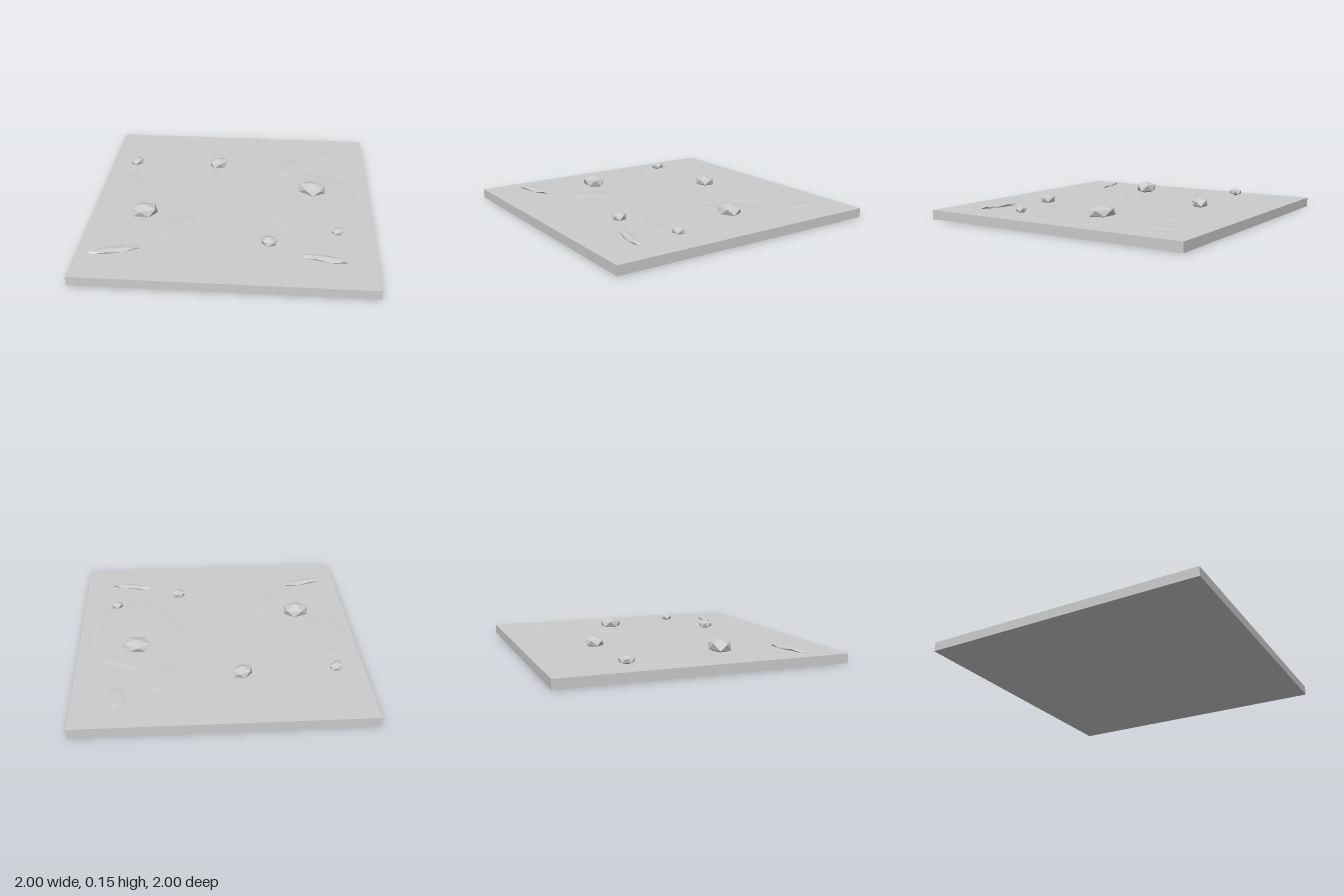
import * as THREE from 'three';

const material = new THREE.MeshStandardMaterial({ color: 0xcccccc, flatShading: true });
const TOP = 0.066;

// Icosahedron standing on one of its corners
function standingIcosahedron() {
  const g = new THREE.IcosahedronGeometry(1, 0);
  g.rotateZ(Math.atan(2 / (1 + Math.sqrt(5))));
  return g;
}

export function createModel() {
  const model = new THREE.Group();
  model.name = 'groundTile';

  const add = (name, geometry, x, y, z, scale = [1, 1, 1], turn = 0) => {
    const mesh = new THREE.Mesh(geometry, material);
    mesh.name = name;
    mesh.position.set(x, y, z);
    mesh.scale.set(...scale);
    mesh.rotation.y = turn;
    model.add(mesh);
  };

  // Square slab
  add('slab', new THREE.BoxGeometry(2, TOP, 2), 0, TOP / 2, 0);

  // Faceted stones: x, z, half length, half height, half width, turn, centre height
  const ico = standingIcosahedron();
  [
    [-0.80, -0.48, 0.060, 0.030, 0.047, 0.9, 0.098],
    [-0.15, -0.50, 0.080, 0.041, 0.064, 0.6, 0.094],
    [0.58, -0.15, 0.116, 0.046, 0.086, -0.3, 0.098],
    [-0.62, 0.24, 0.106, 0.052, 0.080, 0.15, 0.102],
    [0.75, 0.40, 0.050, 0.027, 0.041, 0.4, 0.090],
    [0.28, 0.55, 0.063, 0.034, 0.053, -0.5, 0.091],
  ].forEach(([x, z, a, h, b, turn, y]) => add('stone', ico, x, y, z, [a, h, b], turn));

  // Long slivers lying near the front corners
  add('sliver', ico, -0.75, 0.076, 0.70, [0.197, 0.015, 0.040], 0.24);
  add('sliver', ico, 0.65, 0.076, 0.70, [0.178, 0.015, 0.036], -0.19);

  // Shallow oval patches, only just above the ground
  const dome = new THREE.SphereGeometry(1, 20, 8, 0, Math.PI * 2, 0, Math.PI / 2);
  [
    [-0.385, 0.39, 0.175, 0.085, 0.95],
    [0.39, -0.51, 0.14, 0.07, 1.25],
    [0.70, -0.70, 0.10, 0.05, 1.65],
  ].forEach(([x, z, a, b, turn]) => add('patch', dome, x, TOP, z, [a, 0.005, b], turn));

  // Broad, very low swells
  add('swell', ico, 0.59, TOP, 0.04, [0.40, 0.008, 0.54]);
  add('swell', ico, -0.80, TOP, -0.05, [0.18, 0.006, 0.33]);

  return model;
}
